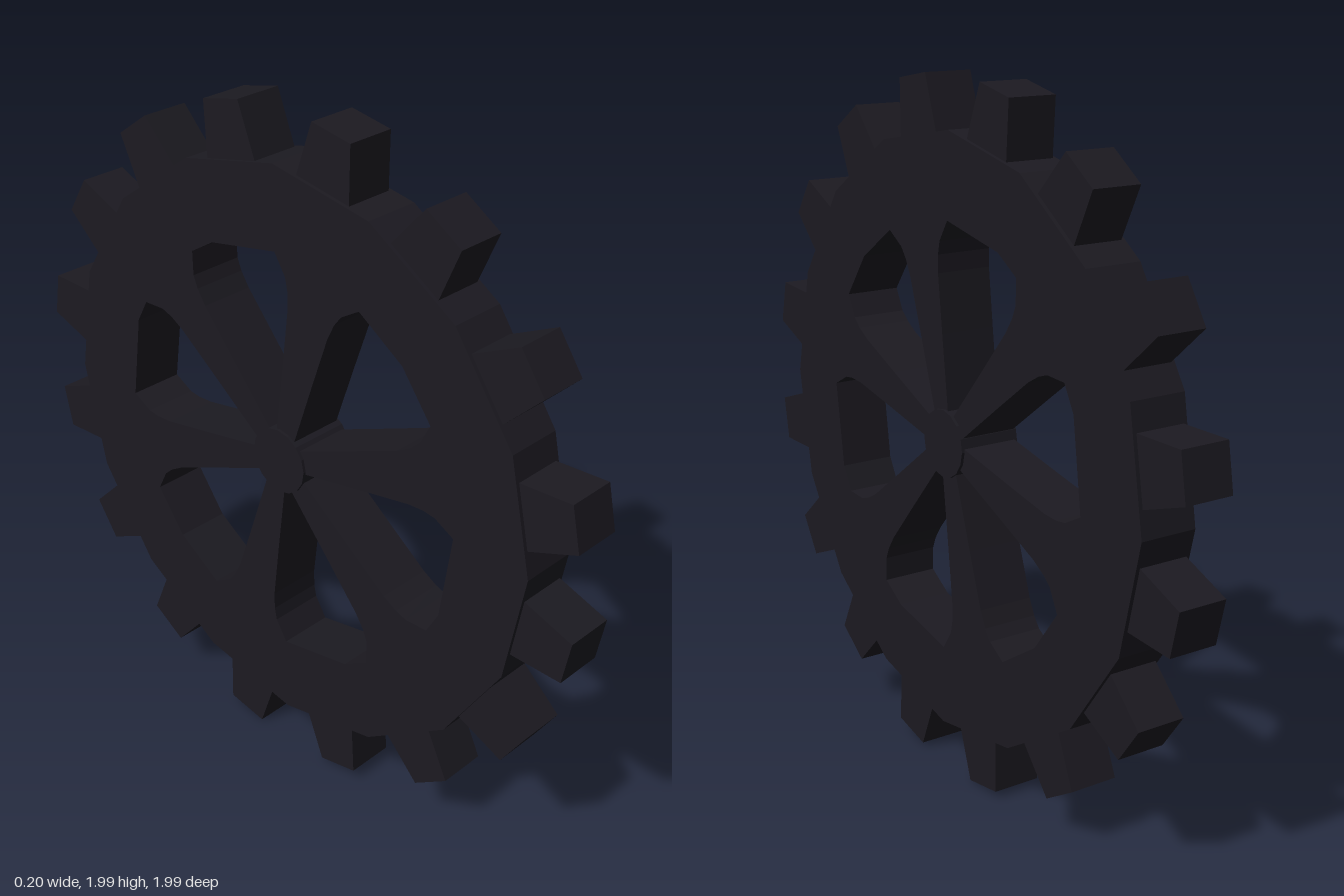
import * as THREE from 'three';

const SIDES = 16, STEP = Math.PI / 8;
const PHASE = THREE.MathUtils.degToRad(-2.25); // first corner of the rim
const RIM_R = 0.857, INNER_R = 0.625;
const RIM_T = 0.165, TOOTH_T = 0.143, HUB_T = 0.182;

const polar = (r, a) => new THREE.Vector2(r * Math.cos(a), r * Math.sin(a));
const ring = (r) => Array.from({ length: SIDES }, (_, i) => polar(r, PHASE + i * STEP));

export function createModel() {
  const material = new THREE.MeshStandardMaterial({ color: 0x1c1a21, flatShading: true });
  const wheel = new THREE.Group();
  wheel.name = 'gearWheel';

  // Flat plate centred on the wheel plane
  const plate = (name, shape, depth) => {
    const geometry = new THREE.ExtrudeGeometry(shape, { depth, bevelEnabled: false });
    geometry.translate(0, 0, -depth / 2);
    const mesh = new THREE.Mesh(geometry, material);
    mesh.name = name;
    wheel.add(mesh);
    return mesh;
  };

  // Rim and six flared spokes: a 16-sided disc with six windows cut out
  const disc = new THREE.Shape(ring(RIM_R));
  // spoke edge: distance from the centre, half width
  const spokeEdge = [[0.085, 0.034], [0.3, 0.056], [0.465, 0.074], [0.515, 0.086], [0.55, 0.102], [0.6, 0.153]];
  for (let i = 0; i < 6; i++) {
    const mid = THREE.MathUtils.degToRad(12 + 60 * i);
    const side = (s) => spokeEdge.map(([r, w]) =>
      polar(Math.hypot(r, w), mid - s * (Math.PI / 6 - Math.atan2(w, r))));
    const rimCorners = [];
    for (let k = -1; k < SIDES * 2; k++) {
      const a = PHASE + k * STEP;
      if (Math.abs(a - mid) < 0.23) rimCorners.push(polar(INNER_R, a));
    }
    disc.holes.push(new THREE.Path([...side(1), ...rimCorners, ...side(-1).reverse()]));
  }
  plate('rimAndSpokes', disc, RIM_T);

  // Hub
  plate('hub', new THREE.Shape(ring(0.097)), HUB_T);

  // Tapered teeth, one on each flat of the rim
  const tooth = new THREE.Shape([
    new THREE.Vector2(0.8, -0.098), new THREE.Vector2(0.998, -0.066),
    new THREE.Vector2(0.998, 0.066), new THREE.Vector2(0.8, 0.098),
  ]);
  for (let i = 0; i < SIDES; i++) {
    plate('tooth', tooth, TOOTH_T).rotation.z = PHASE + (i + 0.5) * STEP;
  }

  // Stand the wheel up facing sideways, with its slight lean
  wheel.rotation.y = Math.PI / 2;
  const lean = new THREE.Group();
  lean.name = 'wheelLean';
  lean.rotation.set(0, -0.0165, -0.012);
  lean.position.set(-0.003, 1, 0);
  lean.add(wheel);

  const model = new THREE.Group();
  model.name = 'gear';
  model.add(lean);
  return model;
}
